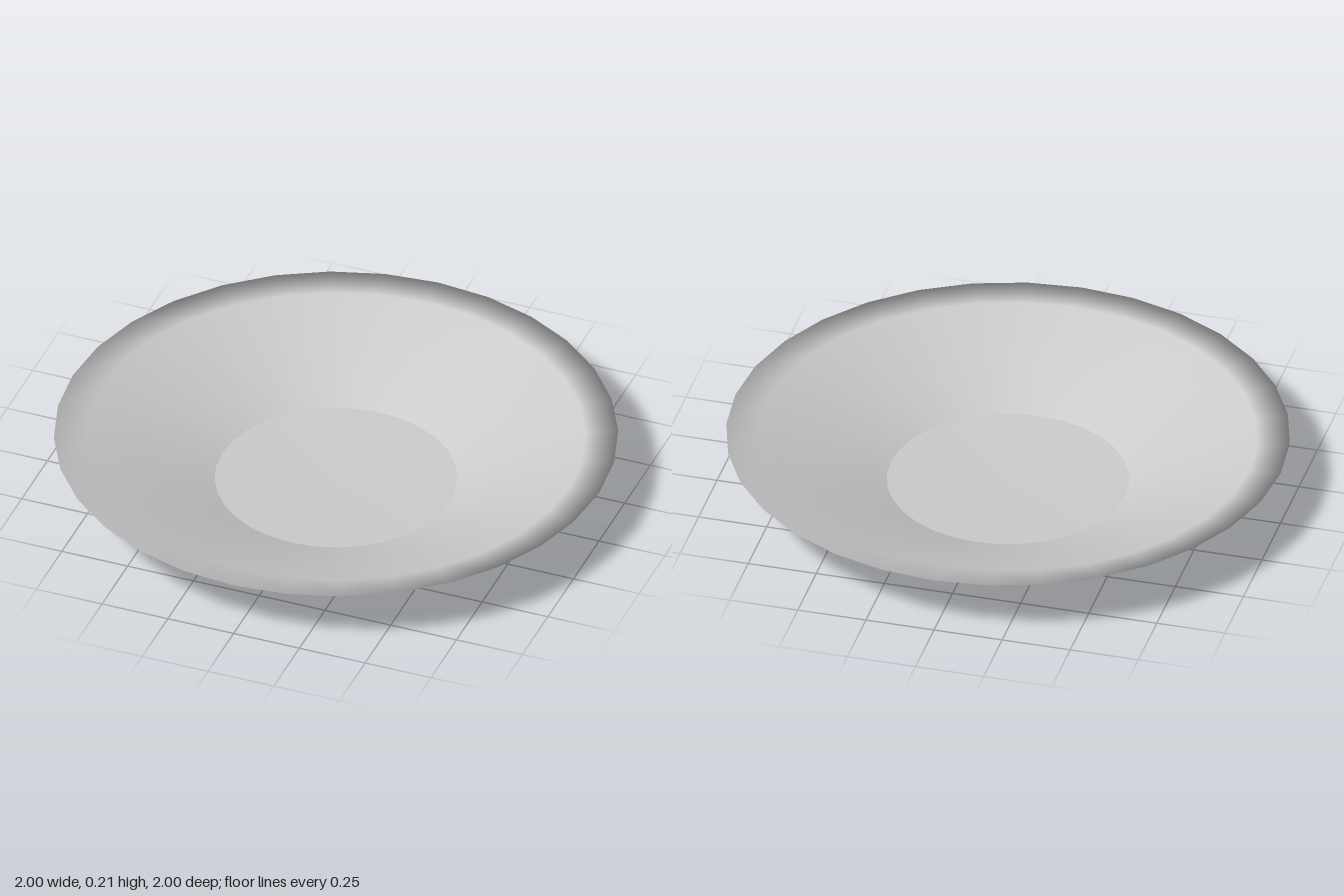
import * as THREE from 'three';

const SIDES = 32;

// Revolves a short [radius, height] profile around the y axis
function turned(name, profile, material) {
  const points = profile.map(([r, y]) => new THREE.Vector2(r, y));
  const mesh = new THREE.Mesh(new THREE.LatheGeometry(points, SIDES), material);
  mesh.name = name;
  return mesh;
}

export function createModel() {
  const group = new THREE.Group();
  group.name = 'shallowDish';
  const material = new THREE.MeshStandardMaterial({ color: 0xcccccc, side: THREE.DoubleSide });

  const thickness = 0.005;
  const baseRadius = 0.43;
  const baseY = 0.014;

  // Slightly convex underside, separate so its edge stays sharp
  group.add(turned('baseUnderside', [[0, 0], [baseRadius, baseY]], material));

  // Sloping wall and flared lip: up the outside, round the rim, down the inside
  group.add(turned('wallAndRim', [
    [baseRadius, baseY],
    [0.885, 0.192],
    [1, 0.208],
    [0.885, 0.192 + thickness],
    [baseRadius, baseY + thickness],
  ], material));

  // Inside floor
  group.add(turned('floor', [[baseRadius, baseY + thickness], [0, thickness]], material));

  return group;
}
